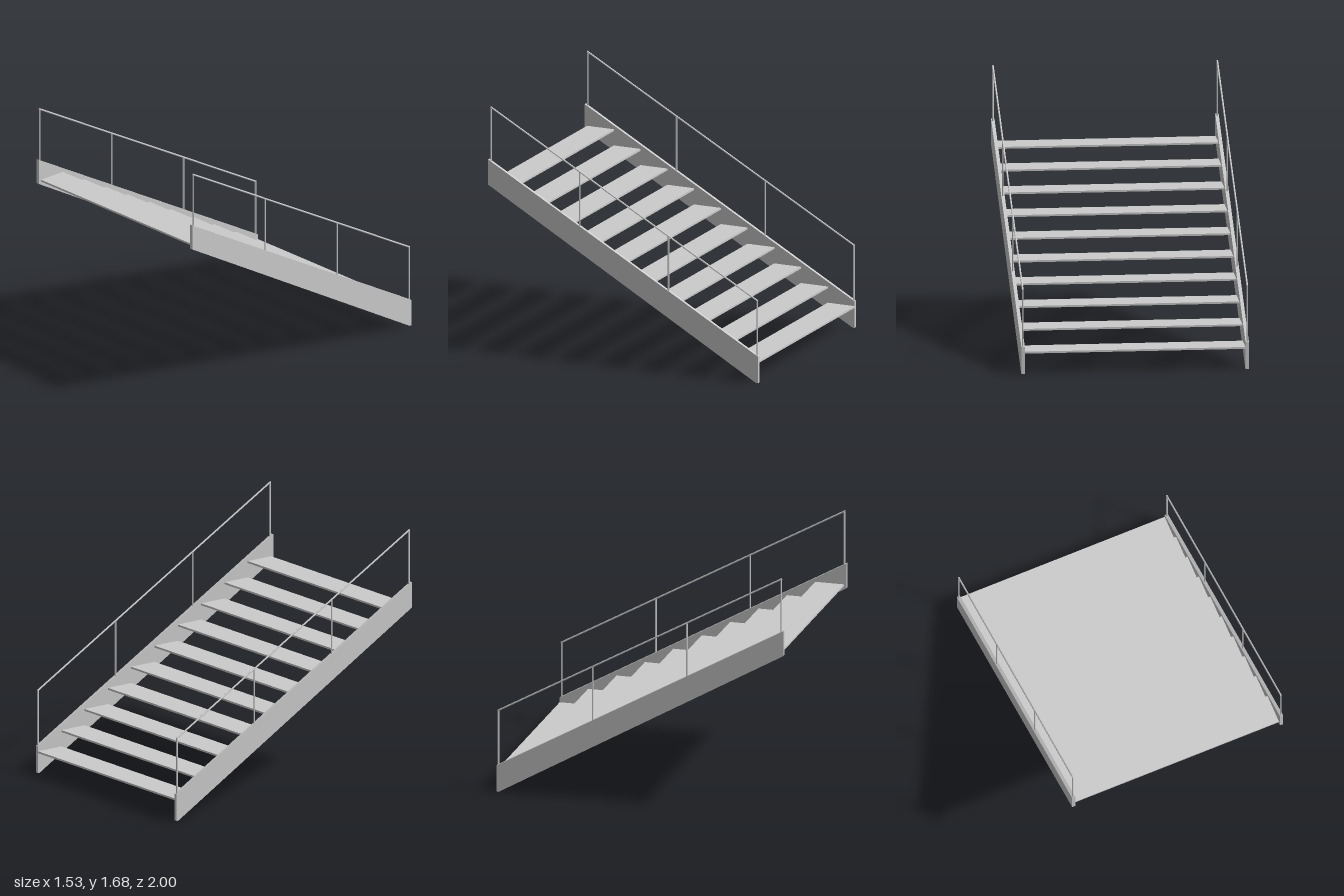
import * as THREE from 'three';

const SLOPE = 0.565;
const stringerTop = (z) => 0.185 + SLOPE * (z + 1);
const railY = (z) => 0.571 + 0.561 * (z + 0.99);

export function createModel() {
  const group = new THREE.Group();
  group.name = 'openStaircase';
  const material = new THREE.MeshStandardMaterial({ color: 0xcccccc, flatShading: true });

  const add = (parent, geometry, name) => {
    const mesh = new THREE.Mesh(geometry, material);
    mesh.name = name;
    parent.add(mesh);
    return mesh;
  };

  // Round bar between two points
  const addBar = (parent, a, b, name) => {
    const dir = b.clone().sub(a);
    const bar = add(parent, new THREE.CylinderGeometry(0.006, 0.006, dir.length(), 8), name);
    bar.position.copy(a).add(b).multiplyScalar(0.5);
    bar.quaternion.setFromUnitVectors(new THREE.Vector3(0, 1, 0), dir.normalize());
  };

  // Treads, rising towards the front
  for (let i = 0; i < 10; i++) {
    const tread = add(group, new THREE.BoxGeometry(1.49, 0.013, 0.199), `tread${i + 1}`);
    tread.position.set(0, 0.145 + 0.1127 * i, -0.9005 + 0.198 * i);
  }

  // Stringer outline: plumb cut at both ends, small flat foot at the back
  const outline = new THREE.Shape([
    [-1, 0], [-0.985, 0], [1, 1.14], [1, stringerTop(1)], [-1, stringerTop(-1)],
  ].map(([z, y]) => new THREE.Vector2(-z, y)));

  for (const [side, label] of [[1, 'left'], [-1, 'right']]) {
    const half = new THREE.Group();
    half.name = `${label}Side`;
    group.add(half);

    const stringer = new THREE.ExtrudeGeometry(outline, { depth: 0.023, bevelEnabled: false });
    stringer.translate(0, 0, -0.0115).rotateY(Math.PI / 2);
    add(half, stringer, `${label}Stringer`).position.x = side * 0.754;

    // Posts and sloping handrail
    const point = (y, z) => new THREE.Vector3(side * 0.755, y, z);
    for (let i = 0; i < 4; i++) {
      const z = -0.99 + 0.6573 * i;
      addBar(half, point(stringerTop(z) - 0.01, z), point(railY(z), z), `${label}Post${i + 1}`);
    }
    addBar(half, point(railY(-0.994), -0.994), point(railY(0.986), 0.986), `${label}Handrail`);
  }
  return group;
}
